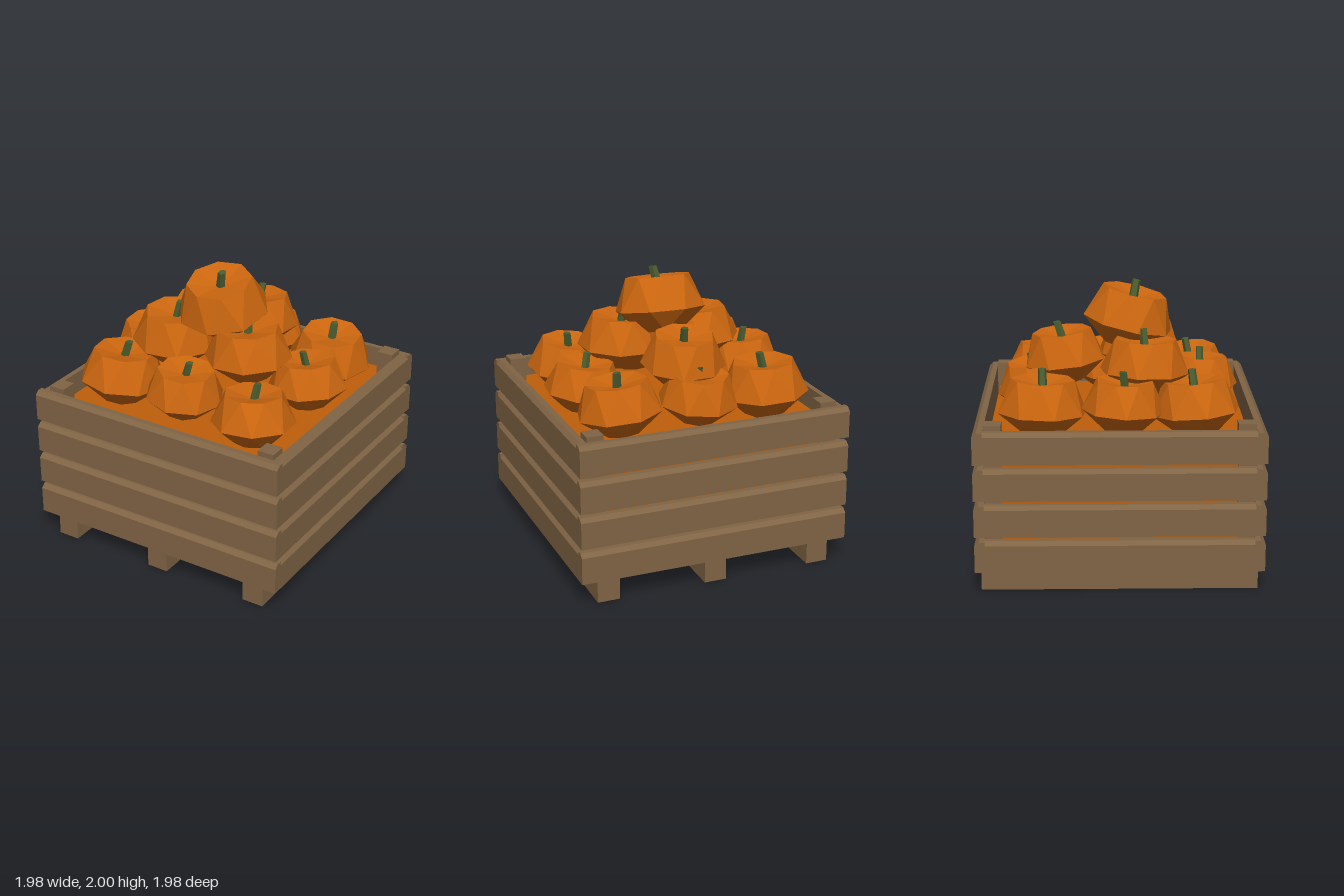
import * as THREE from 'three';

const flat = (name, color) => {
  const m = new THREE.MeshStandardMaterial({ color, flatShading: true });
  m.name = name;
  return m;
};

// Eight-sided gourd: each ring is turned half a step, so the sides become triangles
function pumpkinGeometry() {
  const profile = [[0, -0.15], [0.15, -0.15], [0.32, 0], [0.225, 0.23], [0, 0.18]]
    .map(([r, y]) => new THREE.Vector2(r, y));
  const geo = new THREE.LatheGeometry(profile, 8);
  const pos = geo.attributes.position;
  const v = new THREE.Vector3();
  const up = new THREE.Vector3(0, 1, 0);
  for (let i = 0; i < pos.count; i++) {
    const ring = i % profile.length;
    v.fromBufferAttribute(pos, i).applyAxisAngle(up, ring * Math.PI / 8);
    pos.setXYZ(i, v.x, v.y, v.z);
  }
  geo.computeVertexNormals();
  return geo;
}

// Five-sided stem that leans as it rises
function stemGeometry() {
  const geo = new THREE.CylinderGeometry(0.03, 0.034, 0.14, 5);
  geo.translate(0, 0.07, 0);
  const pos = geo.attributes.position;
  for (let i = 0; i < pos.count; i++) pos.setX(i, pos.getX(i) + 0.22 * pos.getY(i));
  geo.computeVertexNormals();
  return geo;
}

export function createModel() {
  const model = new THREE.Group();
  model.name = 'pumpkinCrate';

  const wood = flat('wood', 0x806445);
  const orange = flat('pumpkinOrange', 0xcb660f);
  const fillOrange = flat('fillOrange', 0xbf5e0a);
  const green = flat('stemGreen', 0x4c5d30);

  const crate = new THREE.Group();
  crate.name = 'crate';
  model.add(crate);

  const box = (name, w, h, d, x, y, z, mat) => {
    const mesh = new THREE.Mesh(new THREE.BoxGeometry(w, h, d), mat);
    mesh.name = name;
    mesh.position.set(x, y, z);
    crate.add(mesh);
  };

  // Runners, floor and corner posts
  for (const x of [-0.79, 0, 0.79]) box('runner', 0.16, 0.175, 1.91, x, 0.0875, 0, wood);
  box('floor', 1.86, 0.04, 1.86, 0, 0.195, 0, wood);
  for (const x of [-1, 1]) for (const z of [-1, 1])
    box('cornerPost', 0.12, 1.02, 0.12, x * 0.857, 0.685, z * 0.857, wood);

  // Packed contents seen between the slats
  box('packedFill', 1.8, 0.81, 1.8, 0, 0.615, 0, fillOrange);

  // Slats with a chamfer along the outer top edge, four rows on four sides
  const slatShape = new THREE.Shape(
    [[0, 0], [0.07, 0], [0.07, 0.192], [0.04, 0.22], [0, 0.22]].map(([x, y]) => new THREE.Vector2(x, y)));
  const slat = (length) => new THREE.ExtrudeGeometry(slatShape, { depth: length, bevelEnabled: false })
    .translate(0.92, 0, -length / 2);
  const sideSlat = slat(1.84);
  const endSlat = slat(1.98);
  for (let row = 0; row < 4; row++) {
    for (let side = 0; side < 4; side++) {
      const mesh = new THREE.Mesh(side % 2 ? endSlat : sideSlat, wood);
      mesh.name = side % 2 ? 'endSlat' : 'sideSlat';
      mesh.rotation.y = side * Math.PI / 2;
      mesh.position.y = 0.172 + row * 0.256;
      crate.add(mesh);
    }
  }

  // Pumpkins: x, y, z of the belly centre, radius, tilt about x and z, spin
  const pile = [
    // bottom layer
    [-0.55, 1.19, -0.53, 0.315, 0.03, -0.05, 0.3],
    [-0.02, 1.21, -0.58, 0.285, -0.1, 0.03, 0.9],
    [0.54, 1.19, -0.53, 0.305, 0.06, -0.1, 1.7],
    [-0.63, 1.22, 0.03, 0.29, 0.05, -0.03, 2.4],
    [0.63, 1.2, -0.04, 0.285, -0.04, 0.08, 4.2],
    [-0.56, 1.19, 0.53, 0.31, -0.08, -0.07, 0.2],
    [0.01, 1.24, 0.59, 0.28, 0.02, -0.08, 0.1],
    [0.55, 1.17, 0.56, 0.295, -0.09, 0.06, 0.5],
    // second layer
    [0.01, 1.42, -0.38, 0.3, -0.11, 0.0, 1.2],
    [-0.33, 1.42, 0.18, 0.315, 0.04, -0.04, 0.6],
    [0.27, 1.43, 0.17, 0.31, 0.0, 0.03, 2.0],
    // crown
    [0, 1.695, 0.07, 0.33, 0.23, 0.0, 0.2],
  ];
  const bodyGeo = pumpkinGeometry();
  const stemGeo = stemGeometry();
  for (const [x, y, z, r, tiltX, tiltZ, spin] of pile) {
    const pumpkin = new THREE.Group();
    pumpkin.name = 'pumpkin';
    pumpkin.position.set(x, y, z);
    pumpkin.rotation.set(tiltX, 0, tiltZ);
    pumpkin.scale.setScalar(r / 0.32);

    const body = new THREE.Mesh(bodyGeo, orange);
    body.name = 'pumpkinBody';
    body.rotation.y = spin;
    const stem = new THREE.Mesh(stemGeo, green);
    stem.name = 'stem';
    stem.position.y = 0.16;
    stem.rotation.y = spin;
    pumpkin.add(body, stem);
    model.add(pumpkin);
  }
  return model;
}
